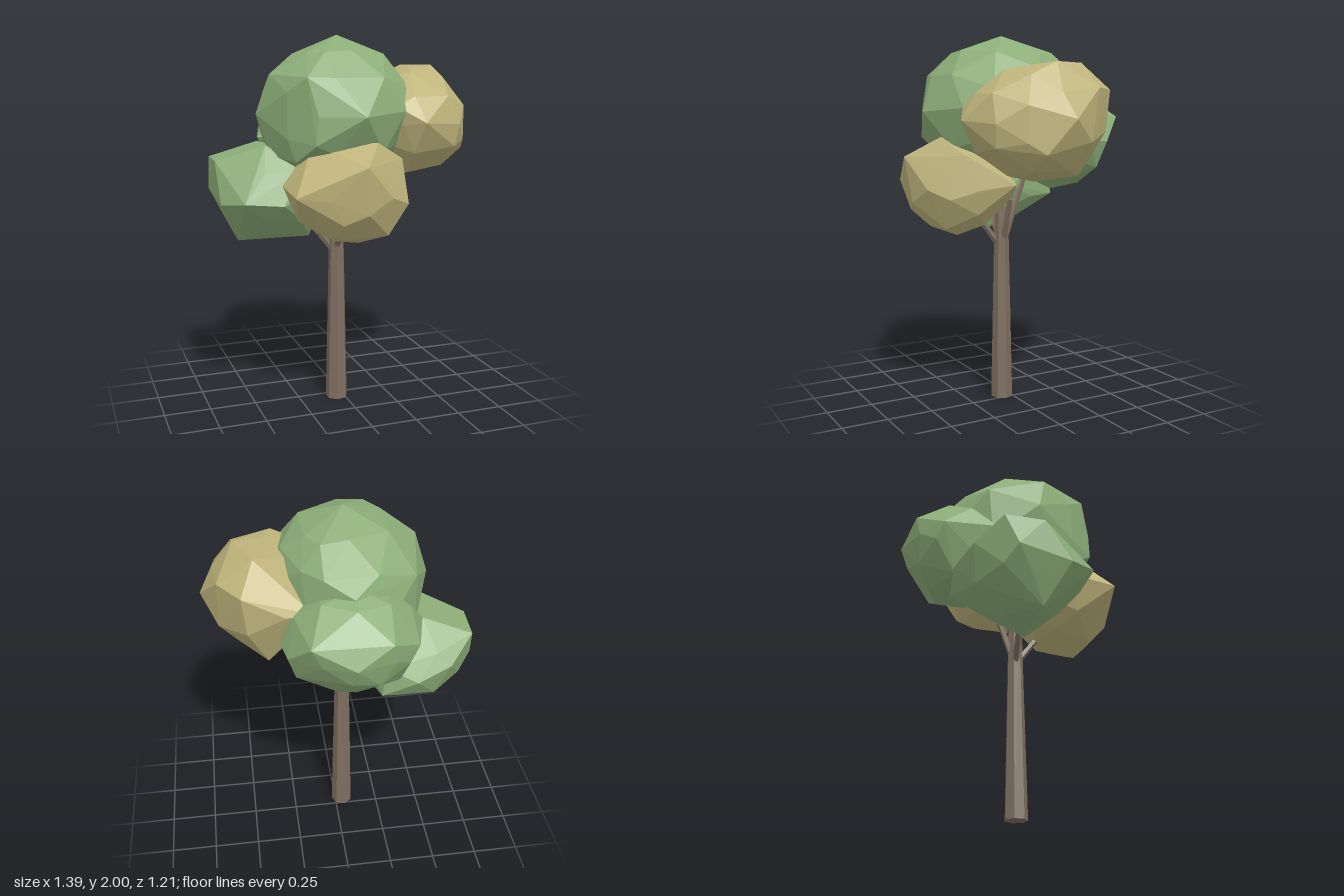
import * as THREE from 'three';
import { ConvexGeometry } from 'three/addons/geometries/ConvexGeometry.js';

const mat = (name, color) => {
  const m = new THREE.MeshStandardMaterial({ color, flatShading: true });
  m.name = name;
  return m;
};

// Prominent corners of each faceted leaf clump
const crownTop = [
  [-0.04, 2, 0.05], [-0.18, 1.91, 0.28], [0.1, 1.91, -0.18], [-0.42, 1.8, 0.1], [-0.3, 1.79, 0.37],
  [0.28, 1.82, 0], [0.1, 1.8, -0.33], [0.2, 1.8, -0.22], [-0.04, 1.72, -0.385], [-0.37, 1.72, -0.2],
  [-0.48, 1.6, 0.05], [-0.04, 1.6, 0.51], [0.21, 1.62, 0.4], [0.36, 1.6, 0.05], [0.3, 1.68, -0.11],
  [0.22, 1.46, 0.3], [-0.27, 1.46, 0.42], [-0.42, 1.39, 0.1], [-0.34, 1.37, 0.3], [-0.38, 1.42, -0.18],
  [-0.04, 1.22, 0.05],
];
const crownLeft = [
  [0.69, 1.57, 0.035], [0.51, 1.845, 0.04], [0.42, 1.845, -0.16], [0.49, 1.71, -0.29], [0.6, 1.72, -0.15],
  [0.64, 1.4, 0.17], [0.5, 1.43, 0.37], [0.3, 1.245, 0.05], [0.37, 1.27, -0.18], [0.3, 1.56, 0.455],
  [0.17, 1.64, 0.38], [0.31, 1.81, 0.22], [0.47, 1.5, -0.28], [0.28, 1.6, -0.31], [0.15, 1.6, -0.29],
  [0.3, 1.28, 0.2],
];
const crownFront = [
  [-0.4, 1.22, 0.5], [-0.4, 1.25, 0.26], [-0.07, 1.37, 0.605], [-0.05, 1.13, 0.57], [0.2, 1.16, 0.47],
  [0.2, 1.38, 0.38], [0.255, 1.225, 0.12], [-0.02, 0.945, 0.33], [-0.185, 0.985, 0.42], [0.1, 1, 0.45],
  [-0.25, 1.465, 0.29], [0.04, 1.47, 0.45], [0, 1.13, 0], [-0.28, 1.2, 0.04],
];
const crownRight = [
  [-0.69, 1.36, 0], [-0.68, 1.36, -0.21], [-0.7, 1.2, -0.14], [-0.69, 1.15, 0.14], [-0.6, 1.17, 0.29],
  [-0.45, 1.44, 0.12], [-0.43, 1.44, -0.15], [-0.58, 0.935, 0.02], [-0.38, 0.95, -0.13], [-0.2, 0.94, 0.05],
  [-0.19, 1.12, -0.36], [-0.21, 1.28, -0.35], [-0.37, 1.2, -0.385], [-0.55, 1.25, -0.33], [-0.4, 1.15, 0.295],
];
const crownBack = [
  [-0.02, 1.465, -0.605], [0.19, 1.57, -0.55], [-0.2, 1.57, -0.56], [0.29, 1.44, -0.42], [0.25, 1.3, -0.38],
  [-0.3, 1.4, -0.47], [-0.28, 1.22, -0.36], [-0.42, 1.46, -0.17], [-0.35, 1.48, -0.44], [-0.35, 1.28, -0.23],
  [0, 1.17, -0.24], [0.05, 1.2, -0.39], [0.315, 1.45, -0.3], [-0.05, 1.74, -0.32], [0.12, 1.7, -0.37],
  [0, 1.36, -0.56],
];

// Convex skin over the corners and a rounded core that fills out the sides between them
function clumpGeometry(corners, centre, radii) {
  const core = new THREE.IcosahedronGeometry(1, 1).rotateY(Math.PI / 2);
  core.scale(...radii).translate(...centre);
  const points = corners.map((c) => new THREE.Vector3(...c));
  const position = core.getAttribute('position');
  for (let i = 0; i < position.count; i++) {
    const p = new THREE.Vector3().fromBufferAttribute(position, i);
    if (points.every((q) => q.distanceTo(p) > 0.1)) points.push(p);
  }
  return new ConvexGeometry(points);
}

export function createModel() {
  const tree = new THREE.Group();
  tree.name = 'tree';
  const bark = mat('bark brown', 0x7e6e60);
  const green = mat('leaf green', 0x8dae79);
  const tan = mat('leaf tan', 0xbfb47c);

  const add = (name, geometry, material) => {
    const mesh = new THREE.Mesh(geometry, material);
    mesh.name = name;
    tree.add(mesh);
    return mesh;
  };

  // Tapered seven-sided trunk
  const trunkHeight = 1.08;
  const trunk = add('trunk', new THREE.CylinderGeometry(0.038, 0.061, trunkHeight, 7), bark);
  trunk.position.set(-0.04, trunkHeight / 2, 0.05);
  trunk.rotation.y = Math.PI / 2;

  // Thin branches, each reaching into one leaf clump
  const up = new THREE.Vector3(0, 1, 0);
  const branches = [
    ['leftBranch', [-0.04, 0.84, 0.05], [0.06, 1.13, 0.05]],
    ['rightBranch', [-0.04, 0.83, 0.05], [-0.22, 1.05, 0.02]],
    ['frontBranch', [-0.04, 0.85, 0.05], [-0.06, 1.05, 0.2]],
    ['backBranch', [-0.04, 0.85, 0.05], [-0.04, 1.23, -0.09]],
  ];
  for (const [name, from, to] of branches) {
    const a = new THREE.Vector3(...from);
    const b = new THREE.Vector3(...to);
    const dir = b.clone().sub(a);
    const branch = add(name, new THREE.CylinderGeometry(0.014, 0.02, dir.length(), 5), bark);
    branch.position.copy(a).add(b).multiplyScalar(0.5);
    branch.quaternion.setFromUnitVectors(up, dir.normalize());
  }

  // Leaf clumps: name, material, corners, core centre, core radii
  const clumps = [
    ['crownTop', green, crownTop, [-0.04, 1.6, 0.06], [0.415, 0.375, 0.425]],
    ['crownLeft', tan, crownLeft, [0.365, 1.545, 0.075], [0.3, 0.29, 0.36]],
    ['crownFront', tan, crownFront, [-0.075, 1.205, 0.305], [0.305, 0.25, 0.28]],
    ['crownRight', green, crownRight, [-0.385, 1.19, -0.04], [0.3, 0.245, 0.32]],
    ['crownBack', green, crownBack, [-0.04, 1.46, -0.29], [0.34, 0.275, 0.295]],
  ];
  for (const [name, material, corners, centre, radii] of clumps) {
    add(name, clumpGeometry(corners, centre, radii), material);
  }

  return tree;
}
